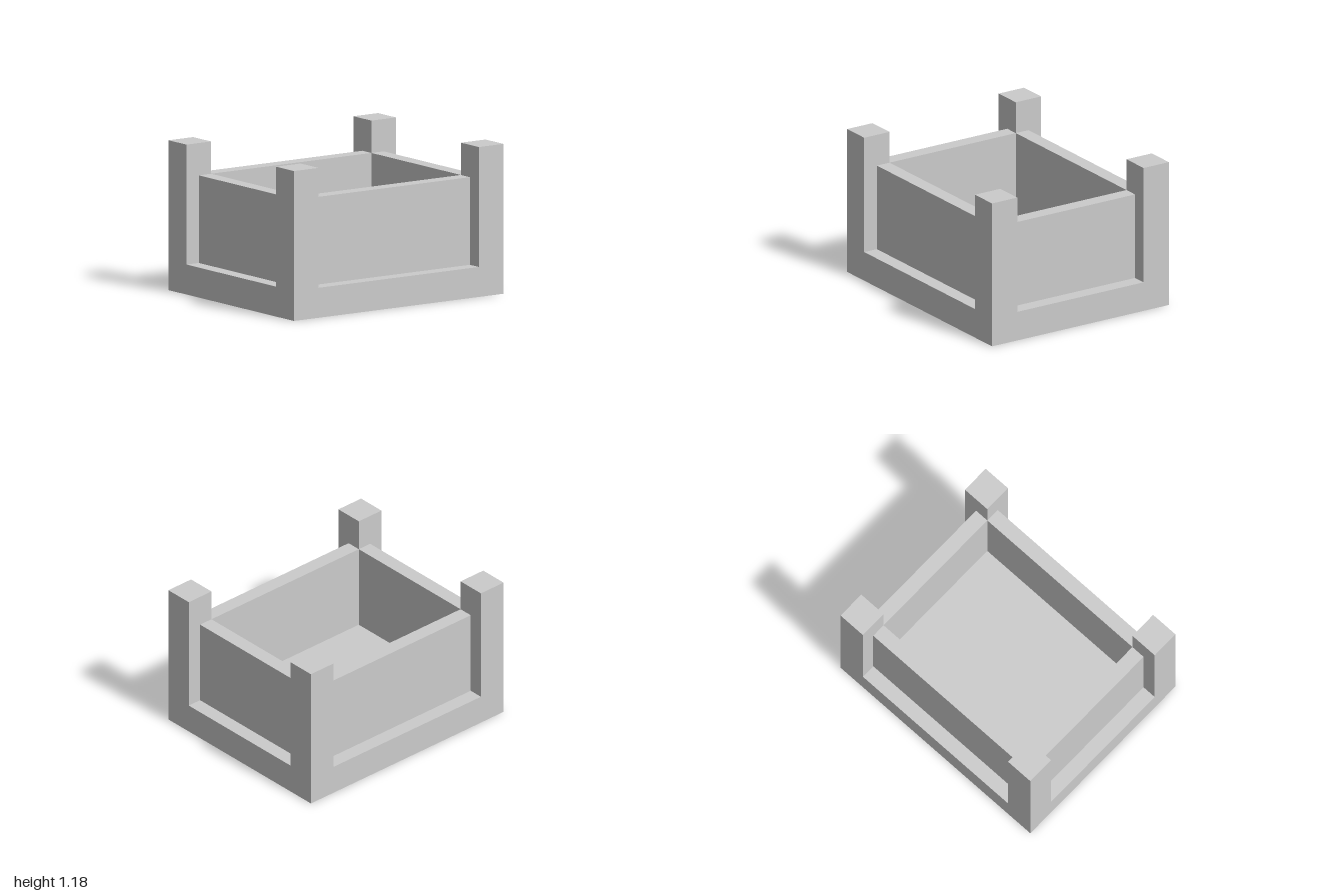
import * as THREE from 'three';

// Open planter box: base slab, four corner posts and four recessed walls
export function createModel() {
  const group = new THREE.Group();
  const material = new THREE.MeshStandardMaterial({ color: 0xcccccc, flatShading: true });

  const unit = 2 / 17;               // wall thickness
  const width = 14 * unit, depth = 2;
  const post = 2 * unit;             // post side and base height
  const postTop = 10 * unit, wallTop = 0.923;
  const innerW = width - 2 * post, innerD = depth - 2 * post;

  // Box standing between heights y0 and y1
  function addBox(name, w, d, y0, y1, x, z) {
    const mesh = new THREE.Mesh(new THREE.BoxGeometry(w, y1 - y0, d), material);
    mesh.name = name;
    mesh.position.set(x, (y0 + y1) / 2, z);
    group.add(mesh);
  }

  addBox('base', width, depth, 0, post, 0, 0);

  for (const s of [1, -1]) {
    // Walls, flush with the inner edge of the posts
    addBox(s > 0 ? 'frontWall' : 'backWall', innerW, unit, post, wallTop, 0, s * (innerD + unit) / 2);
    addBox(s > 0 ? 'leftWall' : 'rightWall', unit, innerD, post, wallTop, s * (innerW + unit) / 2, 0);

    // Corner posts
    for (const t of [1, -1]) {
      const name = (t > 0 ? 'front' : 'back') + (s > 0 ? 'Left' : 'Right') + 'Post';
      addBox(name, post, post, post, postTop, s * (width - post) / 2, t * (depth - post) / 2);
    }
  }
  return group;
}
